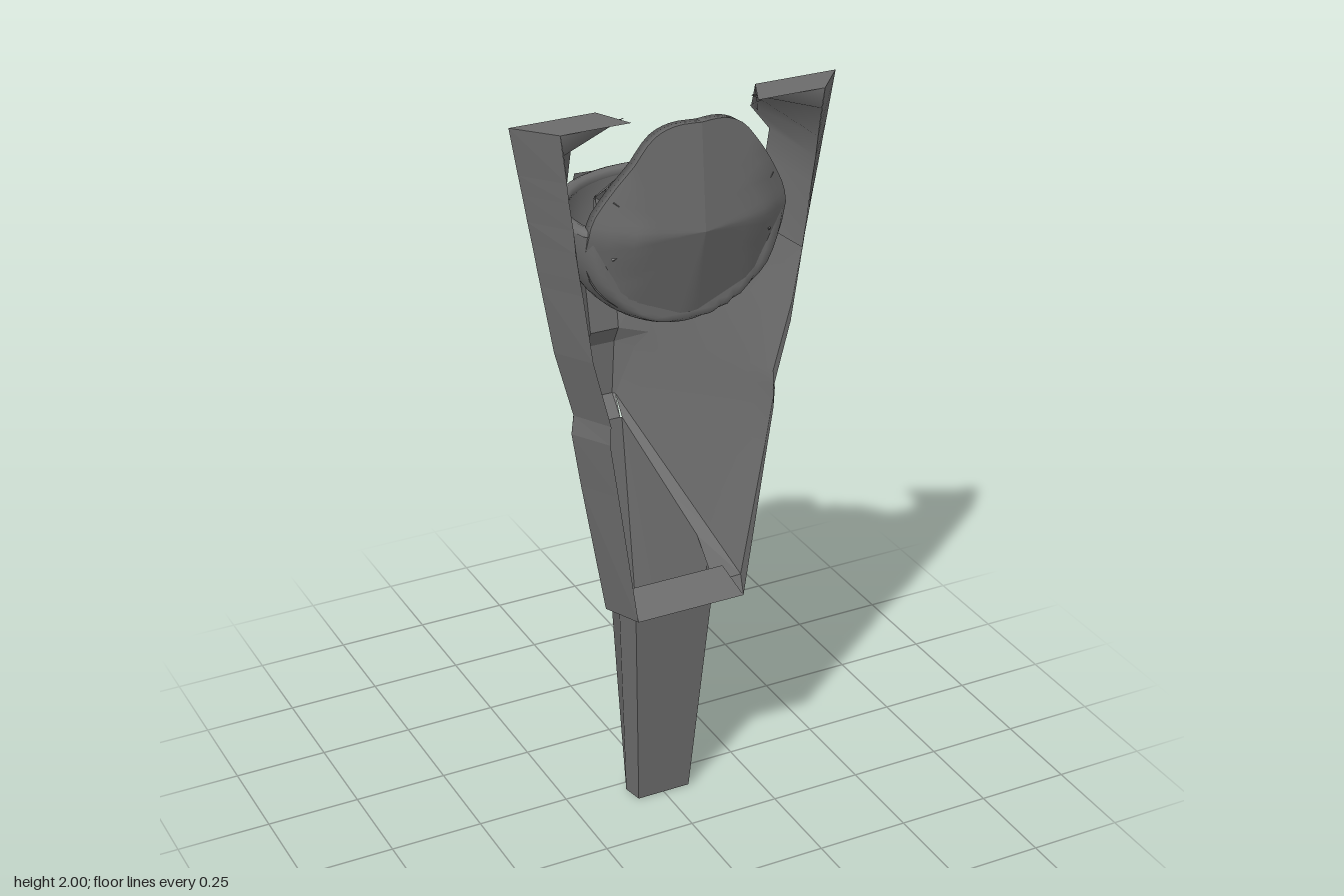
import * as THREE from 'three';

const color = 0x6b6b6b;
const mat = new THREE.MeshStandardMaterial({ color, flatShading: true, side: THREE.DoubleSide });
const smooth = new THREE.MeshStandardMaterial({ color, side: THREE.DoubleSide });

// Sheet skinned over rows of points (all rows the same length)
function loft(name, rows, material = mat) {
  const n = rows[0].length, index = [];
  for (let i = 0; i < rows.length - 1; i++)
    for (let j = 0; j < n - 1; j++) {
      const a = i * n + j, b = a + n;
      index.push(a, b, a + 1, b, b + 1, a + 1);
    }
  let geo = new THREE.BufferGeometry();
  geo.setAttribute('position', new THREE.Float32BufferAttribute(rows.flat(2), 3));
  geo.setIndex(index);
  if (material === mat) geo = geo.toNonIndexed();
  geo.computeVertexNormals();
  const mesh = new THREE.Mesh(geo, material);
  mesh.name = name;
  return mesh;
}

const { lerp } = THREE.MathUtils;
const mix = (a, b, t) => a.map((v, i) => lerp(v, b[i], t));
const flip = ([x, y, z]) => [-x, y, z];
// Completes a half section, running from the right side over to the left
const both = half => [...half.map(flip), ...[...half].reverse()];

// Slightly twisted plane of the side panels
const panelX = (y, z) => .43 - .176 * (2 - y) - (.52 + .27 * (y - 1.03)) * (.14 - z);
const onPanel = (y, z) => [panelX(y, z), y, z];

// Straight strut between two points
function bar(name, a, b, r, sides = 4) {
  const p = new THREE.Vector3(...a), q = new THREE.Vector3(...b);
  const mesh = new THREE.Mesh(new THREE.CylinderGeometry(r, r, p.distanceTo(q), sides), sides > 4 ? smooth : mat);
  mesh.position.copy(p).lerp(q, 0.5);
  mesh.quaternion.setFromUnitVectors(new THREE.Vector3(0, 1, 0), q.sub(p).normalize());
  mesh.name = name;
  return mesh;
}

function sidePanel(s) {
  const g = new THREE.Group();
  g.name = s > 0 ? 'leftPanel' : 'rightPanel';
  const m = rows => rows.map(r => r.map(([x, y, z]) => [s * x, y, z]));
  // y, front corner x, outer corner x, rear edge z
  const rows = [
    [2, .345, .43, .14], [1.88, .33, .409, -.02], [1.83, .325, .4, .025],
    [1.76, .315, .388, .025], [1.7, .31, .377, -.02], [1.63, .3, .365, -.1],
    [1.59, .293, .358, -.155], [1.41, .268, .326, -.2], [1.23, .222, .277, -.2],
    [1.18, .225, .283, -.235], [1.03, .203, .259, -.28], [.66, .15, .194, .14],
  ];
  g.add(loft('frontChamfer', m(rows.map(([y, xf, xo]) => [[xf, y, .237], [xo, y, .14]]))));
  g.add(loft('outerPanel', m(rows.map(([y, , xo, ze]) =>
    [0, .2, .4, .6, .8, 1].map(t => mix([xo, y, .14], onPanel(y, ze), t)))), smooth));
  // Flared wall round the pod opening
  g.add(loft('podRecess', m([
    [[.345, 2, .237], [.165, 2, .2]],
    [[.338, 1.95, .237], [.25, 1.94, .1]],
    [[.33, 1.88, .237], [.285, 1.88, -.02]],
    [[.325, 1.83, .237], onPanel(1.83, .025)],
    [[.315, 1.76, .237], onPanel(1.76, .025)],
    [[.305, 1.67, .237], [.288, 1.67, .02]],
    [[.295, 1.6, .237], [.27, 1.6, .01]],
  ]), smooth));
  // Roof of the panel: flat in front, sloping down behind
  g.add(loft('panelRoof', m([
    [[.345, 2, .237], [.165, 2, .237]],
    [[.43, 2, .14], [.21, 2, .14]],
    [onPanel(1.88, -.02), [.286, 1.88, .02]],
  ])));
  return g;
}

function spine() {
  const g = new THREE.Group();
  g.name = 'spine';
  g.add(loft('spineShell', [
    [[.1, 1.7, -.215], [.042, 1.65, -.288]],
    [onPanel(1.59, -.155), [.042, 1.58, -.288]],
    [onPanel(1.41, -.2), [.042, 1.39, -.288]],
    [onPanel(1.23, -.2), [.04, 1.23, -.258]],
    [onPanel(1.18, -.235), [.04, 1.18, -.285]],
    [onPanel(1.03, -.28), [.035, 1.03, -.288]],
    [[.03, .985, -.23], [.03, .985, -.23]],
  ].map(both)));
  const crest = [[-.1, 1.7, -.215], [0, 1.68, -.252], [.1, 1.7, -.215]];
  g.add(loft('spineCap', [
    [[-.042, 1.65, -.288], [0, 1.65, -.288], [.042, 1.65, -.288]],
    crest,
  ]));
  g.add(loft('spineLining', [crest, [[-.115, 1.46, -.185], [0, 1.46, -.24], [.115, 1.46, -.185]]]));
  return g;
}

function lowerBlade() {
  const g = new THREE.Group();
  g.name = 'lowerBlade';
  const top = [[.035, .985, -.23], [.13, .71, .08], [.112, .66, .145]];
  const low = [[.035, .23, -.12], [.09, .012, .04], [.075, .005, .085]];
  const ring = half => { const r = both(half); return [...r, r[0]]; };
  g.add(loft('bladeWalls', [ring(top), ring(low)]));
  g.add(loft('bladeTip', low.map(p => [flip(p), p])));
  // Rim joining the blade to the side panels
  const rim = [0, .25, .5, .75, 1].map(t =>
    [mix(onPanel(1.03, -.28), onPanel(.66, .14), t), t < 1 ? mix(top[0], top[1], t / .86) : top[2]]);
  g.add(loft('bladeRim', rim), loft('bladeRim', rim.map(r => r.map(flip))));
  // Sill across the front
  g.add(loft('frontSill', [
    [[-.194, .66, .14], [.194, .66, .14]],
    [[-.15, .66, .237], [.15, .66, .237]],
    [[-.14, .7, .14], [.14, .7, .14]],
    [[-.112, .66, .14], [.112, .66, .14]],
  ]));
  return g;
}

function pod() {
  const g = new THREE.Group();
  g.name = 'pod';
  // Bowl cut flat at the front
  const clip = geo => {
    const p = geo.attributes.position;
    for (let i = 0; i < p.count; i++) p.setZ(i, Math.min(p.getZ(i), .1));
    geo.computeVertexNormals();
    return geo;
  };
  for (const [name, k] of [['bowl', 1], ['bowlLining', .9]]) {
    const geo = new THREE.SphereGeometry(1, 40, 14, 0, Math.PI * 2, Math.PI / 2, Math.PI / 2);
    geo.scale(.284 * k, .285 * k, .265 * k);
    const bowl = new THREE.Mesh(clip(geo), smooth);
    bowl.position.set(0, 1.72, .11);
    bowl.name = name;
    g.add(bowl);
  }
  const rimGeo = new THREE.TorusGeometry(.252, .016, 8, 40).rotateX(Math.PI / 2).scale(1.06, 1, 1);
  const rim = new THREE.Mesh(clip(rimGeo), smooth);
  rim.position.set(0, 1.72, .11);
  rim.name = 'bowlRim';
  g.add(rim);

  // Ridged shield closing the front
  const half = [[0, 1.985], [.065, 1.982], [.115, 1.96], [.165, 1.9], [.22, 1.82], [.258, 1.745],
    [.262, 1.65], [.23, 1.565], [.155, 1.505], [.07, 1.484], [0, 1.48]];
  const outline = new THREE.CatmullRomCurve3(
    [...half, ...half.slice(1, -1).reverse().map(([x, y]) => [-x, y])]
      .map(([x, y]) => new THREE.Vector3(x, y, 0)), true).getPoints(60);
  const shieldZ = (x, y) => .295 - (y > 1.72 ? .094 * (y - 1.72) : .34 * (1.72 - y))
    - .15 * Math.abs(x) - .5 * Math.max(0, Math.abs(x) - .17);
  const shieldRing = (k, depth) => outline.map(p => {
    const x = p.x * k, y = 1.72 + (p.y - 1.72) * k;
    return [x, y, shieldZ(x, y) - depth];
  });
  g.add(loft('frontShield', [1, .85, .65, .45, .25, .1, 0].map(k => shieldRing(k, 0)), smooth));
  g.add(loft('shieldEdge', [shieldRing(1, 0), shieldRing(.99, .033), shieldRing(.9, .02)], smooth));

  // Cage of struts behind the shield
  const tip = [0, 1.765, -.03], rear = [0, 1.71, -.1];
  for (const s of [1, -1]) {
    const hip = [s * .21, 1.73, .15], mid = [s * .15, 1.78, .095], crown = [s * .08, 1.82, .08];
    const brow = [s * .06, 1.775, .01], tail = [s * .12, 1.7, -.04];
    const struts = [
      [hip, mid], [mid, crown], [crown, brow], [brow, tip], [tip, rear], [rear, tail], [tail, hip],
      [brow, tail], [mid, tail], [crown, [s * .08, 1.95, .235]],
      [mid, [s * .15, 1.88, .235]], [hip, [s * .2, 1.81, .235]], [hip, [s * .2, 1.66, .225]],
    ];
    for (const [a, b] of struts) g.add(bar('cageStrut', a, b, .012));
  }
  // Controls inside the bowl
  g.add(bar('crossBar', [-.1, 1.74, .09], [.07, 1.76, 0], .013));
  g.add(bar('controlTube', [-.025, 1.68, 0], [.055, 1.66, .18], .026, 12));
  g.add(bar('controlTube', [.01, 1.69, -.01], [.065, 1.67, .12], .015, 12));
  return g;
}

export function createModel() {
  const model = new THREE.Group();
  model.name = 'armouredPod';
  model.add(sidePanel(1), sidePanel(-1), spine(), lowerBlade(), pod());
  return model;
}
